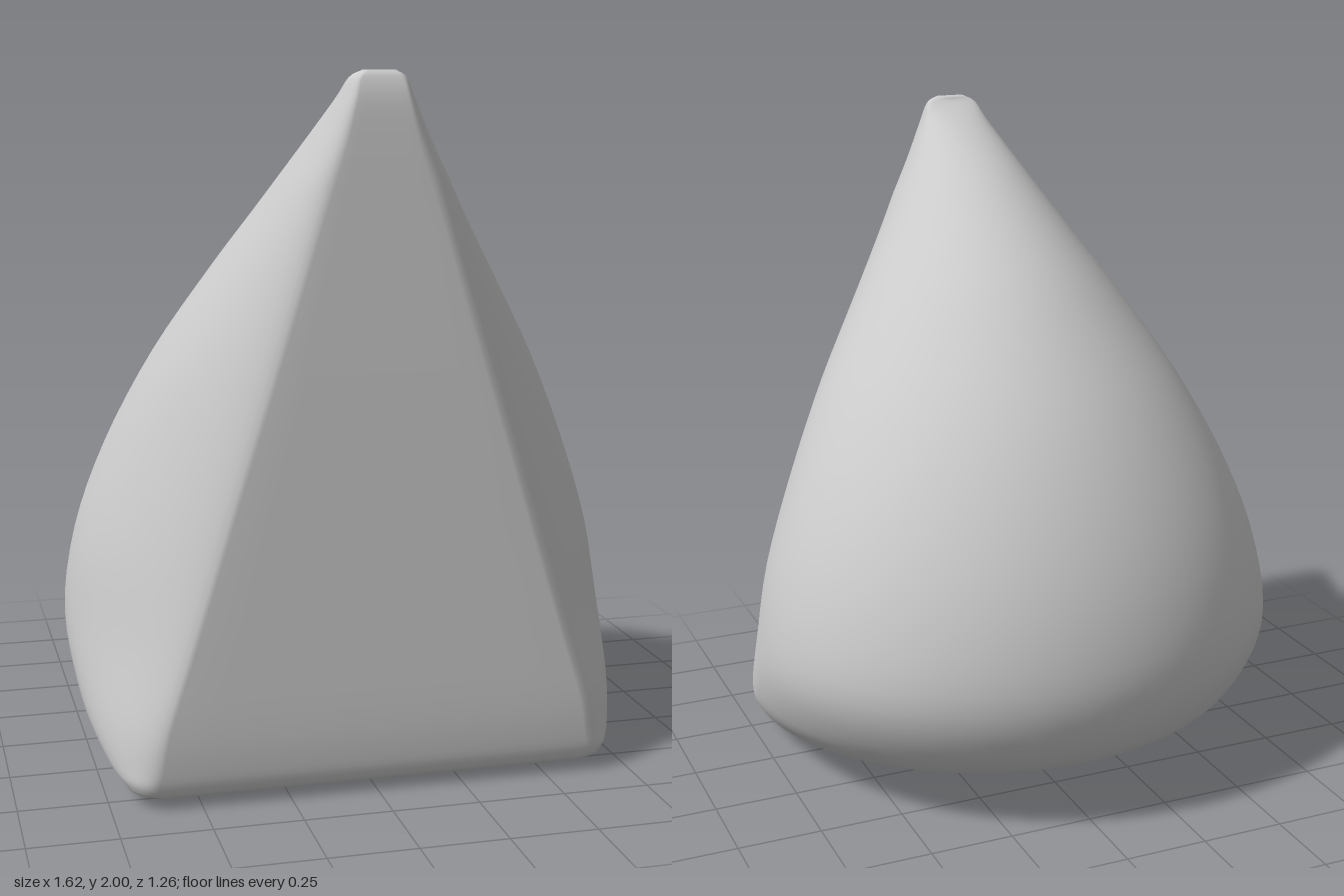
import * as THREE from 'three';

// Horizontal sections, bottom to top:
// [y, half-width of flat front, widest half-width, front z, z of widest point, back z]
const SECTIONS = [
  [0.0, 0.1, 0.3, 0.45, 0.34, 0.22],
  [0.012, 0.4, 0.48, 0.53, 0.43, 0.1],
  [0.03, 0.58, 0.665, 0.585, 0.5, -0.04],
  [0.06, 0.62, 0.71, 0.607, 0.48, -0.19],
  [0.12, 0.61, 0.75, 0.618, 0.4, -0.37],
  [0.23, 0.59, 0.79, 0.625, 0.25, -0.545],
  [0.42, 0.53, 0.81, 0.626, 0.08, -0.626],
  [0.66, 0.455, 0.775, 0.626, 0.07, -0.605],
  [0.92, 0.375, 0.685, 0.626, 0.1, -0.515],
  [1.19, 0.29, 0.555, 0.625, 0.18, -0.365],
  [1.45, 0.21, 0.395, 0.623, 0.28, -0.155],
  [1.62, 0.158, 0.285, 0.621, 0.36, 0.02],
  [1.8, 0.1, 0.175, 0.619, 0.45, 0.245],
  [1.92, 0.07, 0.108, 0.614, 0.52, 0.43],
  [1.98, 0.055, 0.078, 0.6, 0.55, 0.535],
  [2.0, 0.03, 0.045, 0.585, 0.57, 0.555],
];

// One closed loop: flat front, rounded corners, bulging sides and back
function sectionLoop(y, f, w, zf, zw, zb) {
  const half = [];
  const corner = new THREE.CubicBezierCurve(
    new THREE.Vector2(f, zf),
    new THREE.Vector2(f + Math.min(0.06, (w - f) * 0.6), zf),
    new THREE.Vector2(w, zw + (zf - zw) * 0.5),
    new THREE.Vector2(w, zw));
  for (let i = 0; i < 4; i++) half.push(new THREE.Vector2(f * i / 4, zf));
  half.push(...corner.getPoints(14));
  for (let i = 1; i <= 18; i++) {
    const a = i / 18 * Math.PI / 2;
    half.push(new THREE.Vector2(w * Math.cos(a), zw + (zb - zw) * Math.sin(a)));
  }
  const mirrored = half.slice(1, -1).reverse().map(p => new THREE.Vector2(-p.x, p.y));
  return [...half, ...mirrored].map(p => new THREE.Vector3(p.x, y, p.y));
}

function bodyGeometry() {
  // Smooth the section values between the rows
  const a = new THREE.CatmullRomCurve3(SECTIONS.map(s => new THREE.Vector3(s[0], s[1], s[2])), false, 'catmullrom');
  const b = new THREE.CatmullRomCurve3(SECTIONS.map(s => new THREE.Vector3(s[3], s[4], s[5])), false, 'catmullrom');
  const steps = (SECTIONS.length - 1) * 4;
  const loops = [];
  for (let i = 0; i <= steps; i++) {
    const p = a.getPoint(i / steps), q = b.getPoint(i / steps);
    loops.push(sectionLoop(p.x, p.y, p.z, q.x, q.y, q.z));
  }
  const n = loops[0].length;
  const points = loops.flat();
  const index = [];
  for (let r = 0; r < steps; r++) {
    for (let i = 0; i < n; i++) {
      const j = (i + 1) % n, lo = r * n, hi = lo + n;
      index.push(lo + i, lo + j, hi + j, lo + i, hi + j, hi + i);
    }
  }
  // Close the underside and the tip
  const bottom = points.push(new THREE.Vector3(0, 0, 0.34)) - 1;
  const top = points.push(new THREE.Vector3(0, 2, 0.57)) - 1;
  for (let i = 0; i < n; i++) {
    const j = (i + 1) % n;
    index.push(bottom, j, i, top, steps * n + i, steps * n + j);
  }
  const geometry = new THREE.BufferGeometry().setFromPoints(points);
  geometry.setIndex(index);
  geometry.computeVertexNormals();
  return geometry;
}

export function createModel() {
  const group = new THREE.Group();
  group.name = 'roundedWedge';
  const lightGrey = new THREE.MeshStandardMaterial({ color: 0xcccccc });
  lightGrey.name = 'light grey';
  const body = new THREE.Mesh(bodyGeometry(), lightGrey);
  body.name = 'body';
  group.add(body);
  return group;
}
